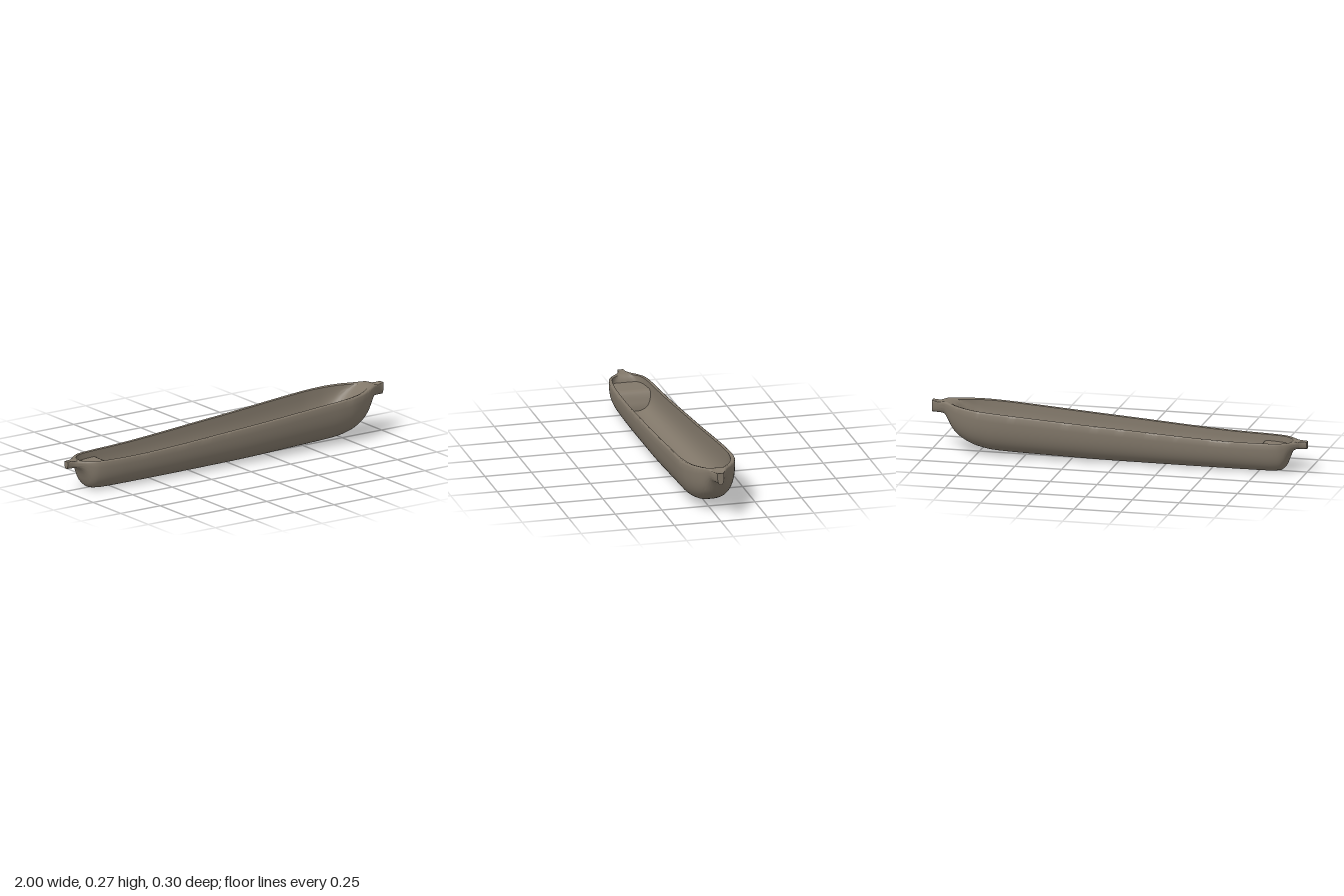
import * as THREE from 'three';
import { toCreasedNormals } from 'three/addons/utils/BufferGeometryUtils.js';

// Smooth curve through [x, value] pairs that never overshoots its points
function curve(points) {
  const n = points.length;
  const slope = points.slice(1).map((p, i) => (p[1] - points[i][1]) / (p[0] - points[i][0]));
  const tangent = points.map((p, i) => {
    if (i === 0) return slope[0];
    if (i === n - 1) return slope[n - 2];
    const a = slope[i - 1], b = slope[i];
    return a * b <= 0 ? 0 : (2 * a * b) / (a + b);
  });
  return (x) => {
    let i = 0;
    while (i < n - 2 && x > points[i + 1][0]) i++;
    const h = points[i + 1][0] - points[i][0];
    const t = THREE.MathUtils.clamp((x - points[i][0]) / h, 0, 1);
    const t2 = t * t, t3 = t2 * t;
    return points[i][1] * (2 * t3 - 3 * t2 + 1) + tangent[i] * h * (t3 - 2 * t2 + t)
      + points[i + 1][1] * (3 * t2 - 2 * t3) + tangent[i + 1] * h * (t3 - t2);
  };
}

// Hull lines along the length
const rimY = curve([[-1, 0.165], [-0.7, 0.167], [0, 0.204], [0.6, 0.245], [0.87, 0.262],
  [0.925, 0.268], [0.96, 0.26], [1, 0.265]]);
const keelY = curve([[-1, 0.125], [-0.945, 0.123], [-0.925, 0.11], [-0.905, 0.07], [-0.89, 0.03],
  [-0.865, 0.008], [-0.8, 0.002], [0, 0.006], [0.4, 0.016], [0.65, 0.025], [0.75, 0.042],
  [0.83, 0.075], [0.88, 0.115], [0.91, 0.165], [0.93, 0.195], [0.95, 0.2], [1, 0.2]]);
const halfWidth = curve([[-1, 0.016], [-0.97, 0.02], [-0.94, 0.042], [-0.9, 0.077], [-0.86, 0.098],
  [-0.8, 0.109], [-0.7, 0.117], [0, 0.138], [0.4, 0.147], [0.62, 0.149], [0.72, 0.143],
  [0.8, 0.123], [0.86, 0.093], [0.91, 0.06], [0.95, 0.036], [0.98, 0.021], [1, 0.018]]);
const centreZ = curve([[-1, 0.006], [-0.7, 0.008], [0, 0.003], [0.6, -0.007], [0.9, -0.003], [1, 0]]);
const innerWidth = curve([[-1, 0.008], [-0.94, 0.02], [-0.91, 0.04], [-0.89, 0.064], [-0.86, 0.08],
  [-0.8, 0.091], [-0.7, 0.099], [0, 0.12], [0.6, 0.13], [0.7, 0.122], [0.78, 0.104],
  [0.84, 0.075], [0.88, 0.048], [0.93, 0.03], [1, 0.01]]);
// Depth of the hollow below the rim
const hollow = curve([[-1, 0.001], [-0.925, 0.002], [-0.905, 0.02], [-0.885, 0.09], [-0.85, 0.13],
  [-0.7, 0.138], [0, 0.17], [0.55, 0.19], [0.68, 0.175], [0.77, 0.12], [0.84, 0.045],
  [0.88, 0.008], [0.92, 0.001], [1, 0.001]]);

// Half of a rounded square hanging below "top", from one side to the other
function bowl(x, width, top, bottom, power, from, to, steps) {
  const points = [];
  for (let i = 0; i <= steps; i++) {
    const a = THREE.MathUtils.lerp(from, to, i / steps);
    const c = Math.cos(a), s = Math.max(0, Math.sin(a));
    points.push([x, top - (top - bottom) * s ** (2 / power),
      centreZ(x) + width * Math.sign(c) * Math.abs(c) ** (2 / power)]);
  }
  return points;
}

// Closed solid skinned over rings that turn from +z under to -z
function loft(rings) {
  const count = rings[0].length, position = rings.flat(2), index = [];
  for (let i = 0; i < rings.length - 1; i++) {
    for (let j = 0; j < count; j++) {
      const k = (j + 1) % count, a = i * count, b = a + count;
      index.push(a + j, a + k, b + j, a + k, b + k, b + j);
    }
  }
  [0, rings.length - 1].forEach((r) => {
    const middle = [0, 1, 2].map((d) => rings[r].reduce((sum, p) => sum + p[d], 0) / count);
    const m = position.length / 3;
    position.push(...middle);
    for (let j = 0; j < count; j++) {
      const a = r * count + j, b = r * count + ((j + 1) % count);
      index.push(...(r ? [m, a, b] : [m, b, a]));
    }
  });
  const geometry = new THREE.BufferGeometry();
  geometry.setAttribute('position', new THREE.Float32BufferAttribute(position, 3));
  geometry.setIndex(index);
  return toCreasedNormals(geometry, 0.9);
}

// Outer side, rounded rim and hollowed inner side at one station
function hullRing(x) {
  const w = halfWidth(x), wi = innerWidth(x), top = rimY(x), z = centreZ(x);
  const round = Math.min(0.01, (w - wi) * 0.5);
  const inside = Math.min(hollow(x), top - keelY(x) - 0.018);
  const dip = Math.min(0.004, inside * 0.5);
  return [
    [x, top, z + w - round],
    [x, top - round * 0.3, z + w - round * 0.3],
    ...bowl(x, w, top - round, keelY(x), 2.6, 0, Math.PI, 32),
    [x, top - round * 0.3, z - w + round * 0.3],
    [x, top, z - w + round],
    ...bowl(x, wi, top - dip, top - inside, 2.8, Math.PI, 0, 28),
  ];
}

// Raised seat block filling the narrow end of the hollow
const seatY = curve([[-0.91, 0.128], [-0.76, 0.13], [-0.745, 0.122], [-0.715, 0.05]]);
function seatRing(x) {
  const top = seatY(x);
  const floor = Math.max(keelY(x) + 0.008, 0.012);
  const bottom = Math.min(floor, top - 0.01);
  const full = rimY(x);
  // start the bowl where it meets the seat height so the block follows the walls
  const s = ((full - top) / (full - bottom)) ** 1.3;
  const a = Math.asin(Math.min(0.99, s));
  return bowl(x, Math.min(innerWidth(x) + 0.007, halfWidth(x) - 0.008), full, bottom, 2.6, a, Math.PI - a, 20);
}

export function createModel() {
  const group = new THREE.Group();
  group.name = 'dugoutCanoe';
  const wood = new THREE.MeshStandardMaterial({ color: 0x82786a });
  wood.name = 'weathered wood';

  const stations = Array.from({ length: 141 }, (_, i) => -Math.cos((i / 140) * Math.PI));
  const hull = new THREE.Mesh(loft(stations.map(hullRing)), wood);
  hull.name = 'hullWithEndGrips';

  const seatStations = Array.from({ length: 25 }, (_, i) => -0.895 + (i / 24) * 0.18);
  const seat = new THREE.Mesh(loft(seatStations.map(seatRing)), wood);
  seat.name = 'seat';

  group.add(hull, seat);
  return group;
}
